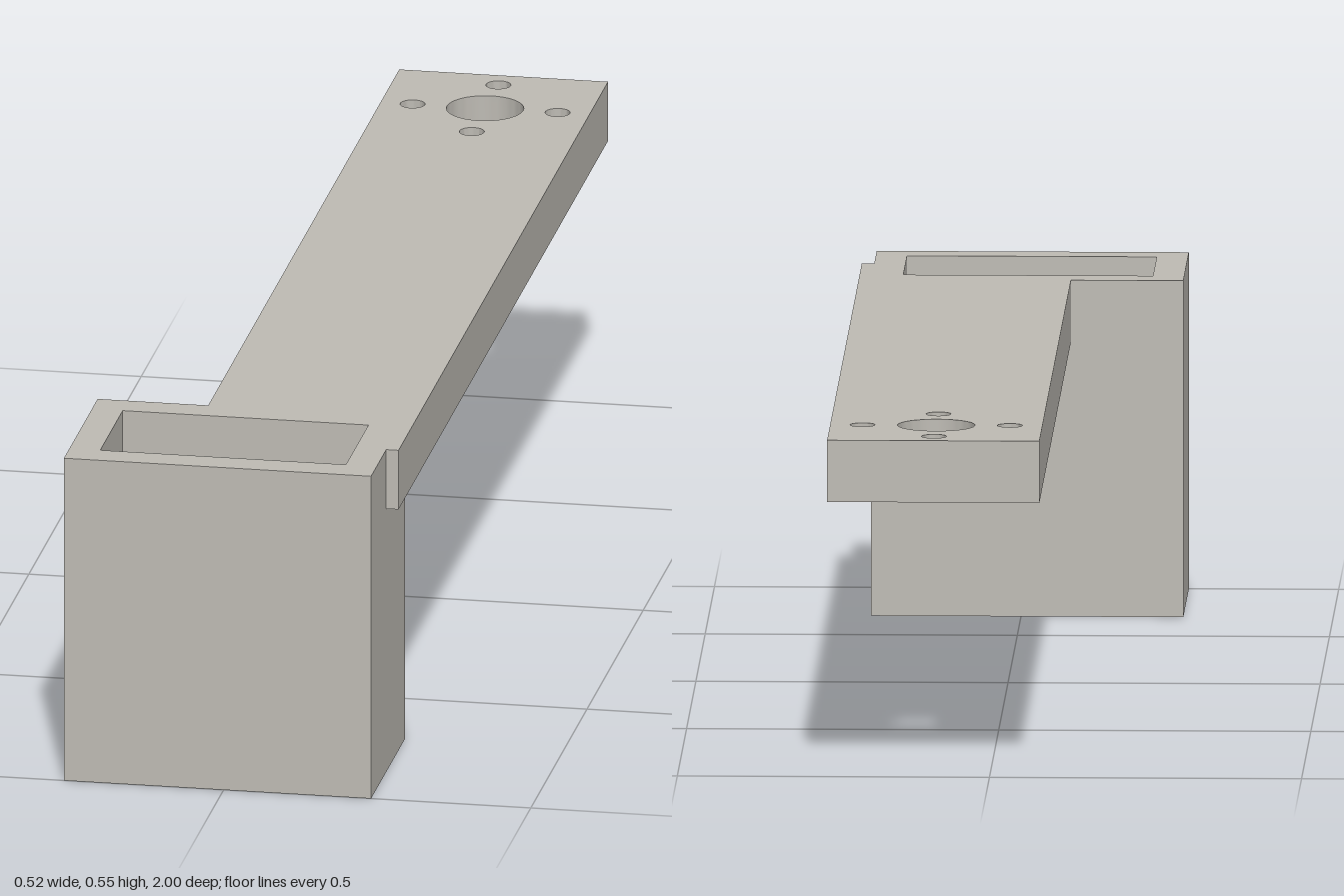
import * as THREE from 'three';
import { toCreasedNormals } from 'three/addons/utils/BufferGeometryUtils.js';

const HEIGHT = 0.545, FLOOR = 0.05;

// Plan outlines are given as [x, z] pairs
const plan = (points, Type = THREE.Shape) =>
  new Type(points.map(([x, z]) => new THREE.Vector2(x, -z)));

const rectangle = (x0, x1, z0, z1) => [[x0, z1], [x1, z1], [x1, z0], [x0, z0]];

function roundHole(x, z, radius) {
  const hole = new THREE.Path();
  hole.absarc(x, -z, radius, 0, Math.PI * 2, true);
  return hole;
}

// Raise a plan outline from y0 to y1
function slab(name, shape, y0, y1, material) {
  const geometry = new THREE.ExtrudeGeometry(shape, { depth: y1 - y0, bevelEnabled: false, curveSegments: 24 });
  geometry.rotateX(-Math.PI / 2).translate(0, y0, 0);
  const mesh = new THREE.Mesh(toCreasedNormals(geometry, 0.6), material);
  mesh.name = name;
  return mesh;
}

export function createModel() {
  const model = new THREE.Group();
  model.name = 'bracket';
  const grey = new THREE.MeshStandardMaterial({ color: 0xbdbab3 });
  grey.name = 'warm grey';

  // Open-topped box: floor and a ring of walls
  const footprint = rectangle(-0.26, 0.24, 0.7, 1);
  const walls = plan(footprint);
  walls.holes.push(plan(rectangle(-0.21, 0.19, 0.75, 0.95), THREE.Path));
  model.add(slab('boxFloor', plan(footprint), 0, FLOOR, grey));
  model.add(slab('boxWalls', walls, FLOOR, HEIGHT, grey));

  // Long arm, with a narrow lip running along the side of the box
  const arm = plan([[-0.08, 0.7], [0.24, 0.7], [0.24, 0.865], [0.26, 0.865], [0.26, -1], [-0.08, -1]]);

  // Shaft hole and four screw holes around it
  const cx = 0.09, cz = -0.835, spacing = 0.118;
  arm.holes.push(roundHole(cx, cz, 0.062));
  for (let i = 0; i < 4; i++) {
    const a = i * Math.PI / 2;
    arm.holes.push(roundHole(cx + spacing * Math.cos(a), cz + spacing * Math.sin(a), 0.02));
  }
  model.add(slab('arm', arm, 0.445, HEIGHT, grey));

  return model;
}
